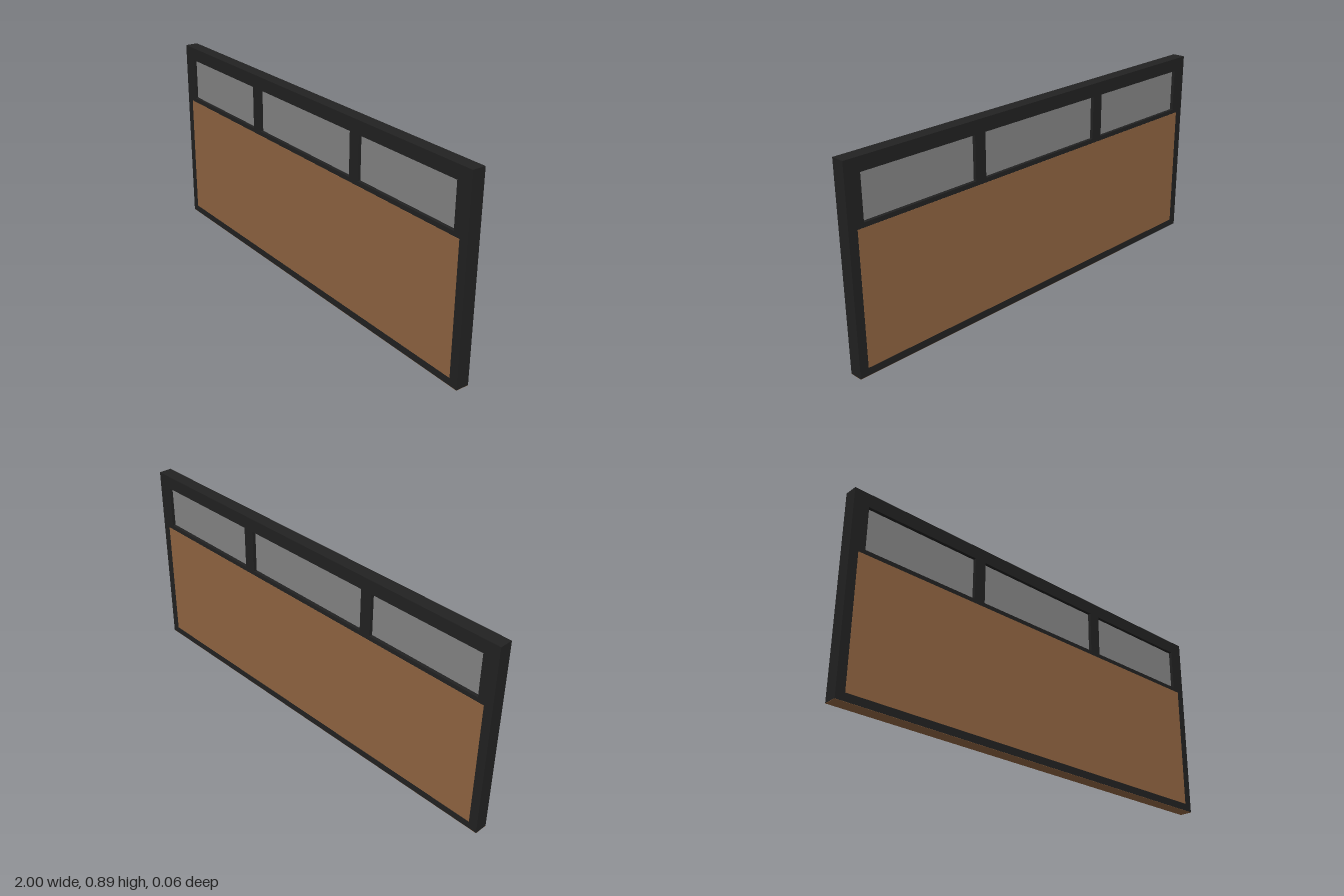
import * as THREE from 'three';

const HEIGHT = 0.89, DEPTH = 0.06, SKIN = 0.001;

export function createModel() {
  const black = new THREE.MeshStandardMaterial({ color: 0x222222 });
  black.name = 'black frame';
  const wood = new THREE.MeshStandardMaterial({ color: 0x926642 });
  wood.name = 'brown wood';
  const glass = new THREE.MeshStandardMaterial({ color: 0x868686 });
  glass.name = 'grey glass';

  const model = new THREE.Group();
  model.name = 'glazedPanel';

  const add = (name, geometry, material, x = 0, y = 0, z = 0) => {
    const mesh = new THREE.Mesh(geometry, material);
    mesh.name = name;
    mesh.position.set(x, y, z);
    model.add(mesh);
  };
  const rectangle = (path, x0, x1, y0, y1) =>
    path.moveTo(x0, y0).lineTo(x1, y0).lineTo(x1, y1).lineTo(x0, y1).closePath();

  // Frame with three window openings
  const openings = [[-0.93, -0.385], [-0.33, 0.325], [0.38, 0.93]];
  const bottom = 0.635, top = 0.83;
  const outline = rectangle(new THREE.Shape(), -1, 1, SKIN, HEIGHT);
  for (const [x0, x1] of openings) {
    outline.holes.push(rectangle(new THREE.Path(), x0, x1, bottom, top));
  }
  const frame = new THREE.ExtrudeGeometry(outline, { depth: DEPTH, bevelEnabled: false });
  add('frame', frame, black, 0, 0, -DEPTH / 2);

  // Recessed window panes
  openings.forEach(([x0, x1], i) => {
    const pane = new THREE.BoxGeometry(x1 - x0, top - bottom, 0.03);
    add(`windowPane${i + 1}`, pane, glass, (x0 + x1) / 2, (bottom + top) / 2);
  });

  // Wood panels on both faces
  for (const [name, side] of [['frontPanel', 1], ['backPanel', -1]]) {
    add(name, new THREE.BoxGeometry(1.92, 0.58, SKIN), wood, 0, 0.325, side * (DEPTH + SKIN) / 2);
  }

  // Wooden underside
  add('underside', new THREE.BoxGeometry(2, SKIN, DEPTH), wood, 0, SKIN / 2);

  return model;
}
